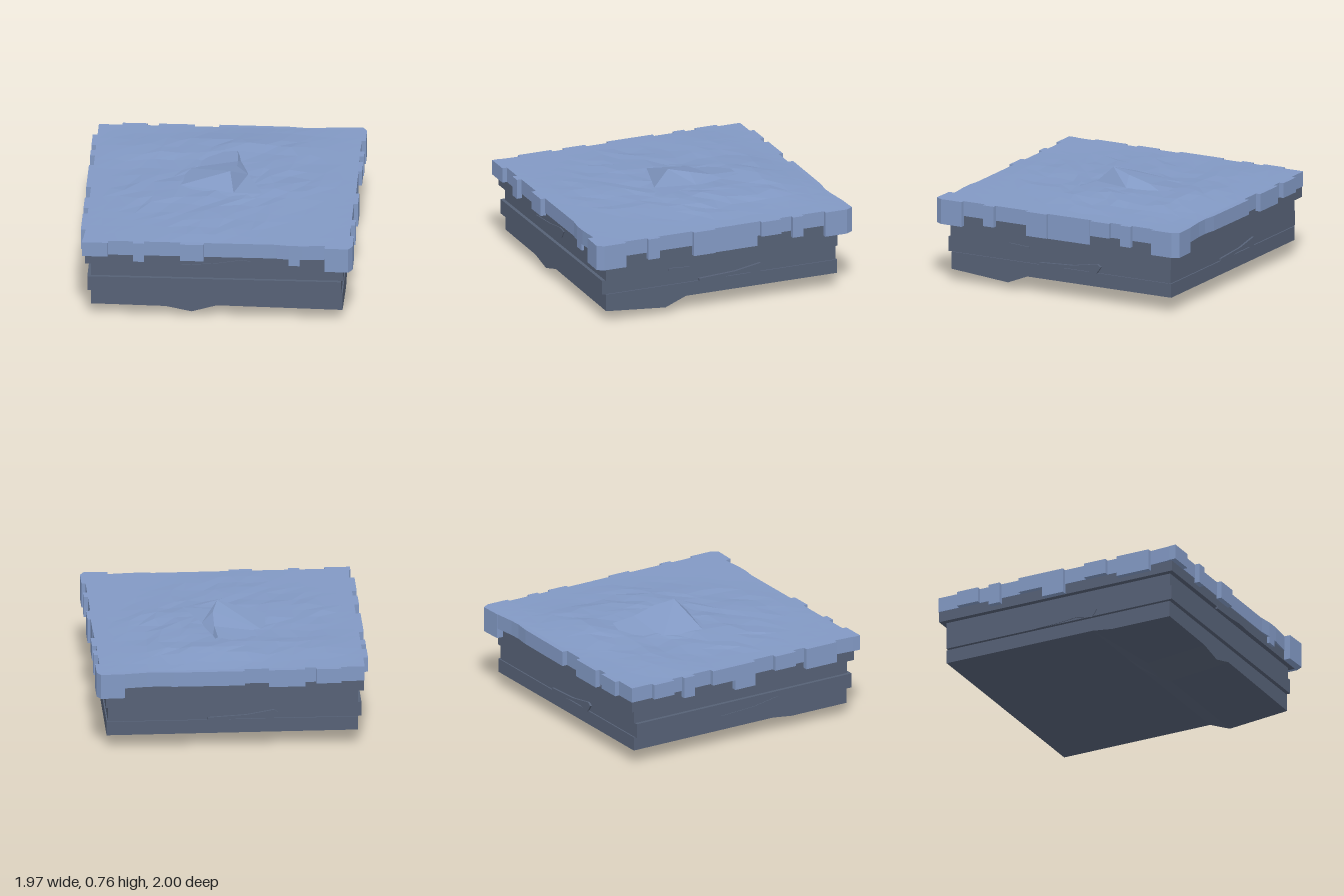
import * as THREE from 'three';

const snow = new THREE.MeshStandardMaterial({ color: 0x8299c4, flatShading: true });
const crag = new THREE.MeshStandardMaterial({ color: 0x8299c4, flatShading: true, side: THREE.DoubleSide });
const rock = new THREE.MeshStandardMaterial({ color: 0x566176, flatShading: true });
const TOP = 0.62;

function add(parent, name, geometry, material) {
  const mesh = new THREE.Mesh(geometry, material);
  mesh.name = name;
  parent.add(mesh);
  return mesh;
}

// Upright prism over an outline given as [x, z] pairs
function prism(outline, bottom, top) {
  const shape = new THREE.Shape(outline.map(p => new THREE.Vector2(...p)));
  return new THREE.ExtrudeGeometry(shape, { depth: top - bottom, bevelEnabled: false })
    .rotateX(Math.PI / 2).translate(0, top, 0);
}

// Box between two corners
function block(x0, x1, y0, y1, z0, z1) {
  return new THREE.BoxGeometry(x1 - x0, y1 - y0, z1 - z0)
    .translate((x0 + x1) / 2, (y0 + y1) / 2, (z0 + z1) / 2);
}

function seeded(seed) {
  return () => (seed = (seed * 16807) % 2147483647) / 2147483647;
}

// Low mounds: [x, z, radius x, radius z, height]
const mounds = [
  [0.1, -0.62, 0.45, 0.2, 0.036], [0.35, -0.1, 0.3, 0.5, 0.026], [-0.1, -0.05, 0.35, 0.4, 0.022],
  [-0.1, 0.6, 0.3, 0.3, 0.014], [-0.6, -0.55, 0.25, 0.2, 0.014], [-0.45, 0.25, 0.25, 0.25, 0.012],
];

function createGround() {
  const geo = new THREE.PlaneGeometry(1.9, 1.9, 16, 16).rotateX(-Math.PI / 2);
  const pos = geo.attributes.position, rand = seeded(41);
  for (let i = 0; i < pos.count; i++) {
    let x = pos.getX(i), z = pos.getZ(i), y = TOP + 0.002;
    const inside = Math.max(Math.abs(x), Math.abs(z)) < 0.9;
    if (inside) {
      x += (rand() - 0.5) * 0.08;
      z += (rand() - 0.5) * 0.06;
      for (const [mx, mz, rx, rz, h] of mounds) y += h * Math.exp(-(((x - mx) / rx) ** 2) - ((z - mz) / rz) ** 2);
      if (Math.hypot(x, z) < 0.75) y += (rand() - 0.5) * 0.014;
    }
    pos.setXYZ(i, x, Math.max(y, TOP + 0.002), z);
  }
  return geo;
}

// Faceted peak with a long western slope and a steep eastern cliff
function createPeak() {
  const v = [
    [0.05, 0.76, 0.05], [0.09, 0.73, -0.1], [0.09, 0.685, -0.27], [0.075, 0.675, -0.46],
    [-0.13, 0.64, -0.49], [-0.27, 0.63, -0.25], [-0.31, 0.645, 0.06], [-0.26, 0.63, 0.18],
    [0.08, 0.645, 0.17], [0.17, 0.655, -0.12], [0.11, 0.63, -0.39],
    [0.29, 0.655, 0.19], [0.1, 0.625, 0.3], [-0.1, 0.625, 0.27],
  ];
  const faces = [
    [0, 6, 8], [6, 7, 8], [0, 1, 5], [0, 5, 6], [1, 2, 5], [2, 4, 5], [2, 3, 4],
    [0, 8, 9], [0, 9, 1], [1, 9, 2], [2, 9, 10], [2, 10, 3],
    [8, 12, 11], [8, 13, 12], [8, 7, 13], [8, 11, 9],
  ];
  const geo = new THREE.BufferGeometry();
  geo.setAttribute('position', new THREE.Float32BufferAttribute(v.flat(), 3));
  geo.setIndex(faces.flat());
  geo.computeVertexNormals();
  return geo;
}

// Lowest rock bed: gridded box whose underside dips to a keel near the front
function createLowestBed() {
  const geo = new THREE.BoxGeometry(4, 1, 3, 4, 1, 3);
  const pos = geo.attributes.position;
  const xs = [-0.905, -0.37, -0.18, 0, 0.905], zs = [-0.905, 0.28, 0.44, 0.905];
  const under = [
    [0.115, 0.115, 0.115, 0.115, 0.115], [0.115, 0.115, 0.115, 0.115, 0.115],
    [0.095, 0.045, 0.004, 0.055, 0.05], [0.095, 0.088, 0.05, 0.103, 0.09],
  ];
  for (let i = 0; i < pos.count; i++) {
    const c = Math.round(pos.getX(i) + 2), r = Math.round(pos.getZ(i) + 1.5);
    pos.setXYZ(i, xs[c], pos.getY(i) > 0 ? 0.217 : under[r][c], zs[r]);
  }
  return geo;
}

// Thin rock flake on one side; outline in [across, up], turned about y
function addFlake(parent, outline, face, turn) {
  const shape = new THREE.Shape(outline.map(p => new THREE.Vector2(...p)));
  const geo = new THREE.ExtrudeGeometry(shape, { depth: 0.02, bevelEnabled: false }).translate(0, 0, face - 0.01);
  add(parent, 'rockFlake', geo.rotateY(turn), rock);
}

export function createModel() {
  const model = new THREE.Group();
  model.name = 'terrainTile';

  const base = new THREE.Group();
  base.name = 'rockBase';
  model.add(base);
  add(base, 'lowestBed', createLowestBed(), rock);
  add(base, 'middleBed', block(-0.93, 0.895, 0.217, 0.325, -0.895, 0.935), rock);
  add(base, 'upperBed', block(-0.905, 0.91, 0.325, 0.432, -0.905, 0.91), rock);
  add(base, 'topBed', block(-0.945, 0.945, 0.432, 0.52, -0.945, 0.945), rock);

  // Flakes on the rock faces
  const longFlake = [[-0.25, 0.415], [-0.05, 0.42], [0.08, 0.432], [0.21, 0.425], [0.25, 0.48], [0.18, 0.49], [0, 0.46], [-0.25, 0.44]];
  const lowFlake = [[-0.18, 0.215], [0, 0.22], [0.17, 0.235], [0.29, 0.21], [0.33, 0.265], [0.3, 0.285], [0.1, 0.25], [-0.18, 0.235]];
  const chip = [[-0.42, 0.33], [-0.26, 0.33], [-0.26, 0.34], [-0.42, 0.35]];
  addFlake(base, longFlake, 0.942, 0);
  addFlake(base, lowFlake, 0.905, Math.PI / 2);
  addFlake(base, chip, 0.91, Math.PI / 2);
  addFlake(base, lowFlake, 0.9, Math.PI);
  addFlake(base, lowFlake, 0.925, -Math.PI / 2);

  const cap = new THREE.Group();
  cap.name = 'snowCap';
  model.add(cap);
  add(cap, 'capSlab', block(-0.95, 0.95, 0.51, TOP, -0.95, 0.95), snow);
  add(cap, 'ground', createGround(), snow);
  add(cap, 'peak', createPeak(), crag);

  // Hanging teeth along each edge: [from, to, bottom, outer edge]
  const teeth = {
    front: [[-0.965, -0.78, 0.51, 0.985], [-0.6, -0.52, 0.475, 0.985], [-0.26, -0.09, 0.49, 0.985], [0.52, 0.6, 0.46, 0.965]],
    back: [[-0.78, -0.6, 0.51, 0.985], [-0.52, -0.26, 0.49, 0.985]],
    right: [[-0.61, -0.525, 0.465, 0.98], [-0.435, -0.28, 0.51, 0.98], [-0.26, -0.08, 0.435, 0.955],
      [-0.08, 0.09, 0.435, 0.957], [0.08, 0.25, 0.44, 0.98], [0.515, 0.605, 0.465, 0.98]],
    left: [[-0.78, -0.61, 0.51, 0.985], [-0.525, -0.435, 0.465, 0.985], [-0.28, -0.09, 0.51, 0.985],
      [-0.09, 0.08, 0.435, 0.985], [0.25, 0.425, 0.51, 0.985], [0.515, 0.775, 0.465, 0.985]],
  };
  for (const [side, list] of Object.entries(teeth)) {
    for (const [a, b, low, out] of list) {
      const geo = {
        front: () => block(a, b, low, TOP, 0.93, out),
        back: () => block(a, b, low, TOP, -out, -0.93),
        right: () => block(0.93, out, low, TOP, a, b),
        left: () => block(-out, -0.93, low, TOP, a, b),
      }[side]();
      add(cap, side + 'Tooth', geo, snow);
    }
  }

  // Chamfered corners on the model's left side and the wavy edge strips
  for (const s of [1, -1]) {
    const corner = [[0.78, 0.9], [0.78, 0.995], [0.95, 1], [0.98, 0.95], [0.98, 0.78], [0.9, 0.78]];
    add(cap, 'cornerTooth', prism(corner.map(([x, z]) => [x, z * s]), 0.435, TOP), snow);
  }
  add(cap, 'frontWave', prism([[0.42, 0.93], [0.43, 0.952], [0.53, 0.965], [0.62, 0.965], [0.78, 0.95], [0.78, 0.93]], 0.51, TOP), snow);
  add(cap, 'backWave', prism([[-0.085, -0.93], [-0.085, -0.99], [0.42, -0.985], [0.53, -0.972], [0.62, -0.975], [0.79, -0.995], [0.79, -0.93]], 0.51, TOP), snow);
  add(cap, 'frontRightCorner', prism([[-0.94, 0.775], [-0.95, 0.775], [-0.965, 0.985], [-0.78, 0.985], [-0.78, 0.93], [-0.94, 0.93]], 0.51, TOP), snow);

  return model;
}
